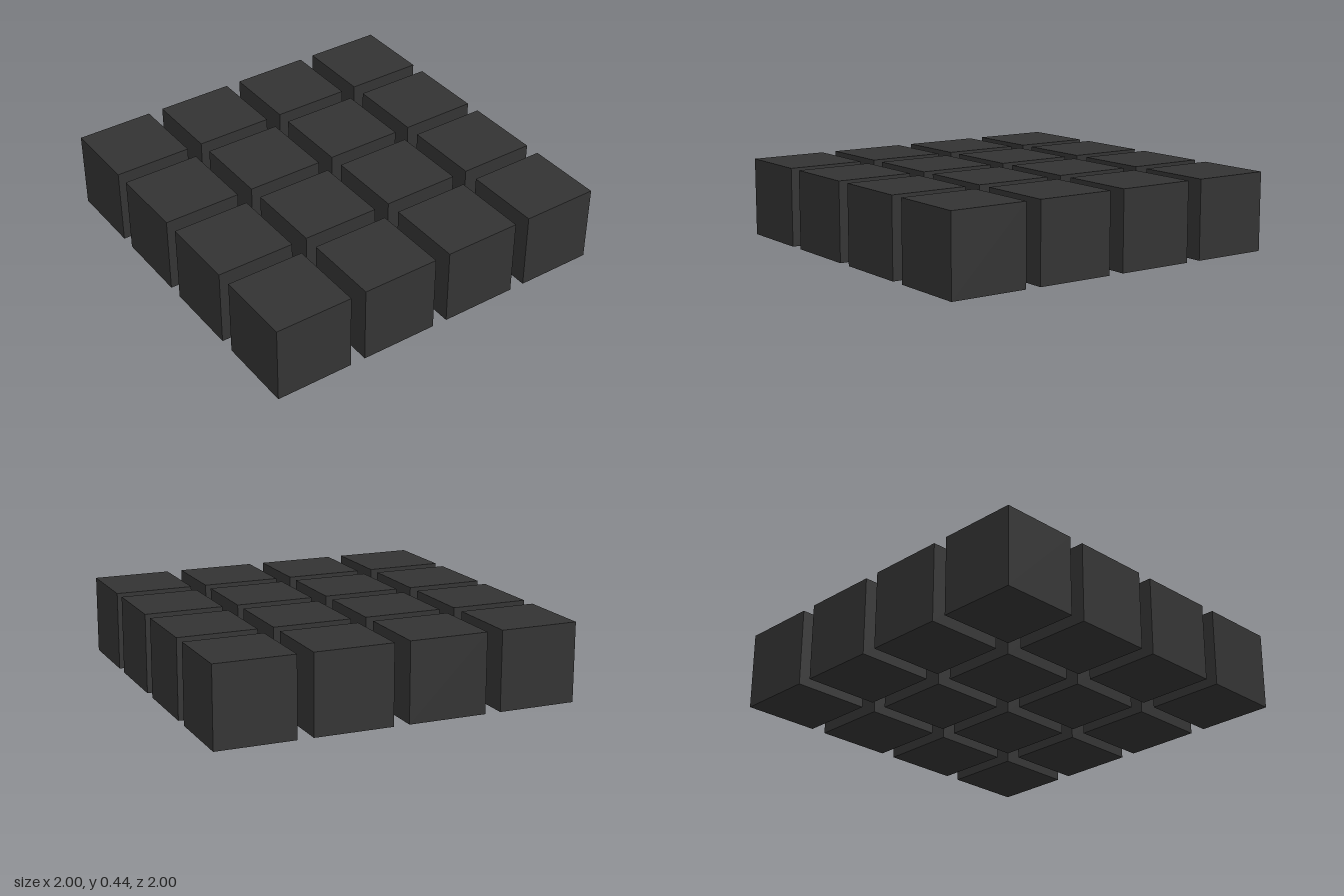
import * as THREE from 'three';

export function createModel() {
  const model = new THREE.Group();
  model.name = 'cubeLattice';
  const charcoal = new THREE.MeshStandardMaterial({ color: 0x333333 });
  charcoal.name = 'charcoal';

  const count = 4;
  const size = 0.435;
  const pitch = (2 - size) / (count - 1);
  const gap = pitch - size;
  const at = (i) => (i - (count - 1) / 2) * pitch;

  const cubeGeometry = new THREE.BoxGeometry(size, size, size);
  // Each rod spans one gap, with its ends sunk slightly into the cubes
  const rodGeometry = new THREE.CylinderGeometry(0.009, 0.009, gap + 0.02, 12);

  const add = (name, geometry, x, z) => {
    const mesh = new THREE.Mesh(geometry, charcoal);
    mesh.name = name;
    mesh.position.set(x, size / 2, z);
    model.add(mesh);
    return mesh;
  };

  for (let i = 0; i < count; i++) {
    for (let j = 0; j < count; j++) {
      add('cube', cubeGeometry, at(i), at(j));
      if (j === count - 1) continue;
      // Connecting rods along x and along z
      add('crossRod', rodGeometry, at(j + 0.5), at(i)).rotation.z = Math.PI / 2;
      add('lengthRod', rodGeometry, at(i), at(j + 0.5)).rotation.x = Math.PI / 2;
    }
  }
  return model;
}
